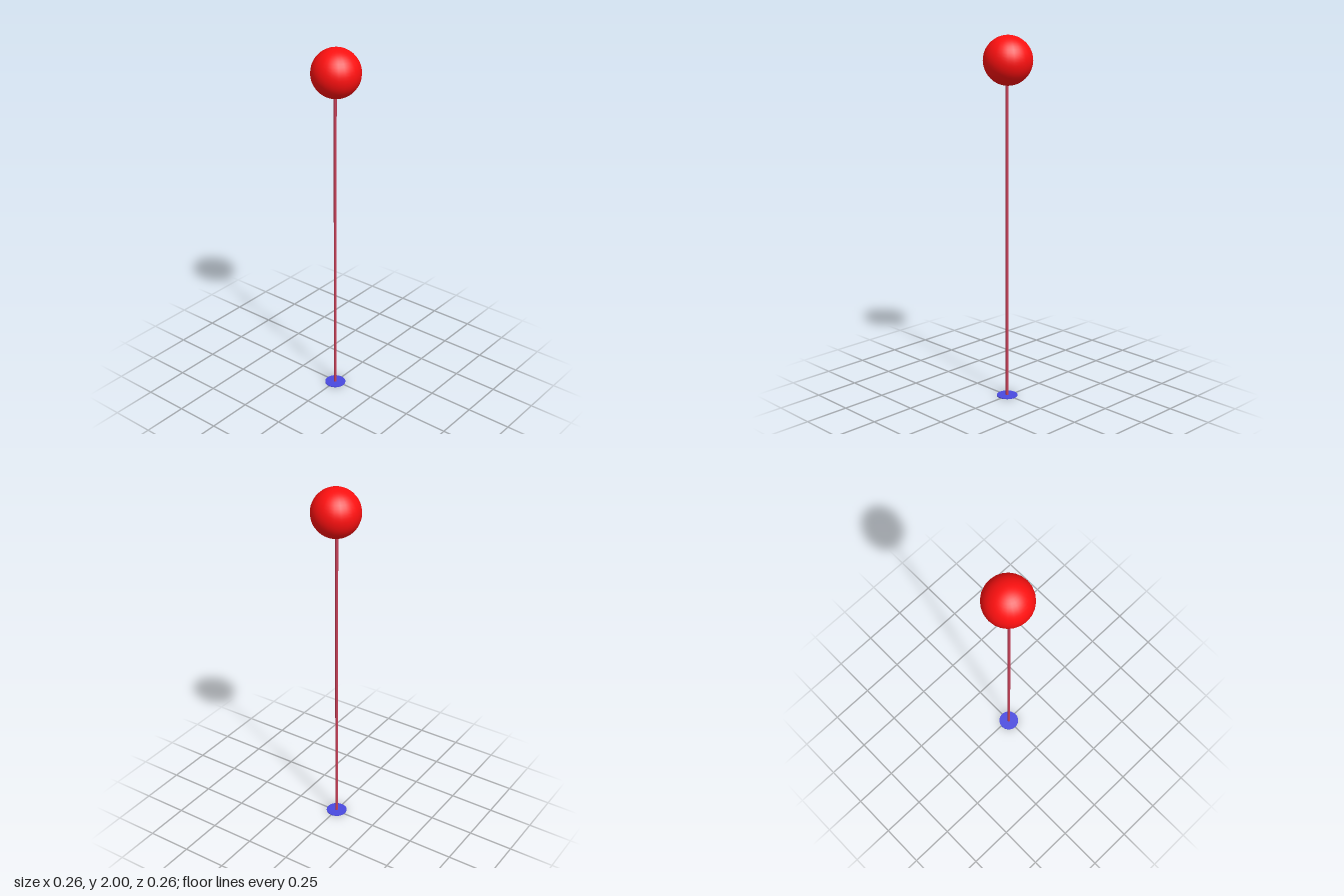
import * as THREE from 'three';

export function createModel() {
  const group = new THREE.Group();
  const axisX = -0.007; // the pole and base sit slightly off the ball's centre
  const ballRadius = 0.131;

  const add = (name, geometry, color, x, y) => {
    const mesh = new THREE.Mesh(geometry, new THREE.MeshStandardMaterial({ color }));
    mesh.name = name;
    mesh.position.set(x, y, 0);
    group.add(mesh);
  };

  // Thin round foot
  const baseHeight = 0.004;
  add('base', new THREE.CylinderGeometry(0.058, 0.058, baseHeight, 32), 0x4a4ae0, axisX, baseHeight / 2);

  // Slender pole, reaching just inside the ball
  const poleHeight = 1.75;
  add('pole', new THREE.CylinderGeometry(0.008, 0.008, poleHeight, 16), 0xc84058, axisX, poleHeight / 2 + 0.001);

  // Ball on top
  add('ball', new THREE.SphereGeometry(ballRadius, 24, 24), 0xff1010, 0, 2 - ballRadius);

  return group;
}
